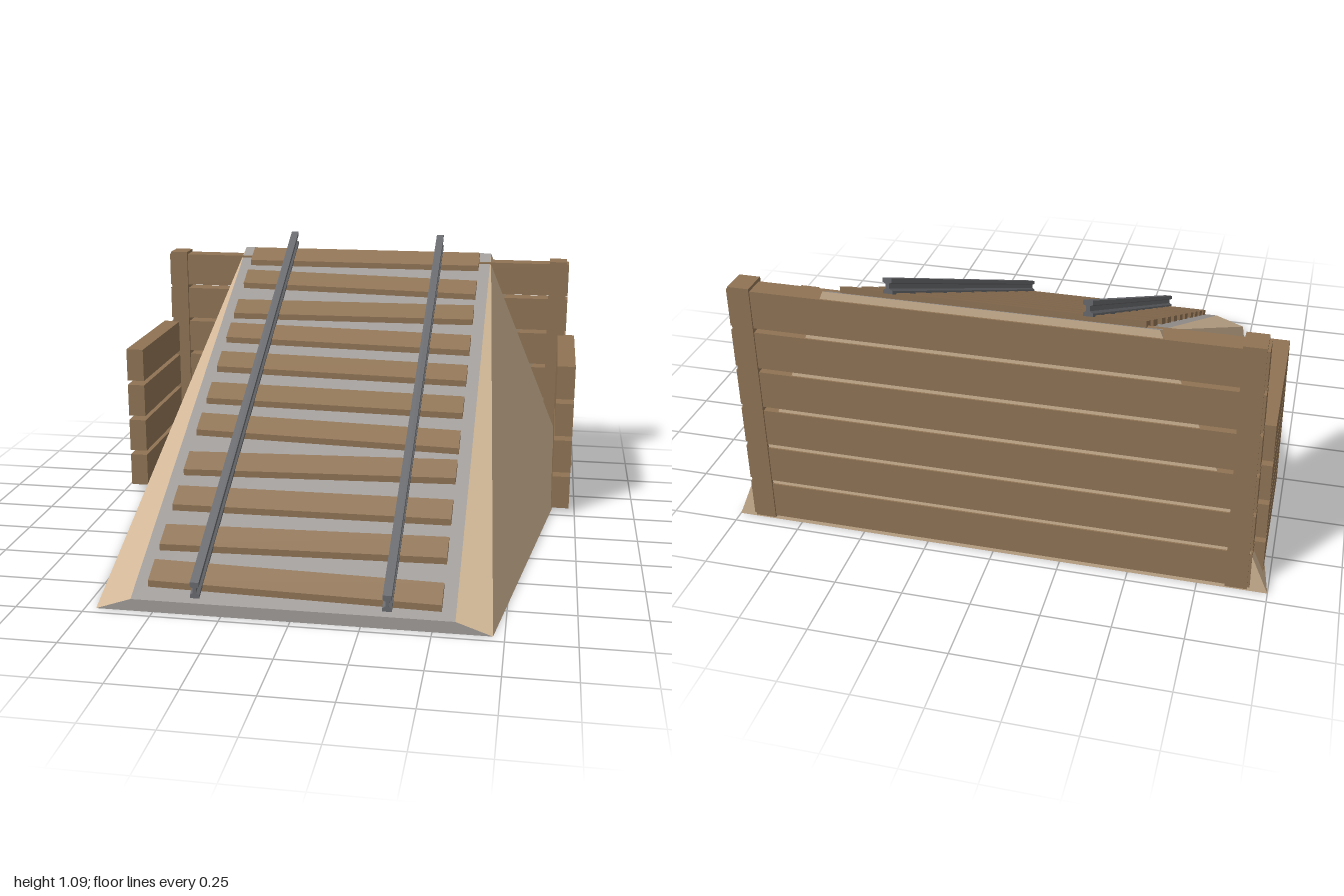
import * as THREE from 'three';

const FRONT = 0.965, BACK = -0.955, SLOPE = 0.5;

function material(name, color) {
  const m = new THREE.MeshStandardMaterial({ color });
  m.name = name;
  return m;
}

// Lifts every vertex along the incline (ends stay vertical) and skews z across x.
function incline(geometry, skew = 0) {
  const p = geometry.attributes.position;
  for (let i = 0; i < p.count; i++) {
    const z = p.getZ(i) + skew * p.getX(i);
    p.setZ(i, z);
    p.setY(i, p.getY(i) + SLOPE * (FRONT - z));
  }
  geometry.computeVertexNormals();
  return geometry;
}

// Earth ramp: gravel on the top and front, bare earth elsewhere.
function embankmentGeometry() {
  const corners = [
    [-0.71, 0, FRONT], [0.71, 0, FRONT], [1, 0, BACK], [-1, 0, BACK],
    [-0.58, 0.045, FRONT], [0.58, 0.045, FRONT], [0.58, 1.005, BACK], [-0.58, 1.005, BACK],
  ];
  const faces = [
    [0, 1, 5, 4], [4, 5, 6, 7],                             // front, top
    [1, 2, 6, 5], [0, 4, 7, 3], [3, 7, 6, 2], [0, 3, 2, 1], // sides, back, bottom
  ];
  const points = [];
  for (const [a, b, c, d] of faces)
    for (const k of [a, b, c, a, c, d]) points.push(...corners[k]);
  const g = new THREE.BufferGeometry();
  g.setAttribute('position', new THREE.Float32BufferAttribute(points, 3));
  g.computeVertexNormals();
  g.addGroup(0, 12, 0);
  g.addGroup(12, 24, 1);
  return g;
}

// I-shaped rail section, swept along the ramp.
function railGeometry() {
  const half = [[0.017, 0], [0.017, 0.012], [0.006, 0.02], [0.006, 0.038], [0.016, 0.043], [0.016, 0.06]];
  const outline = [...half, ...half.map(([x, y]) => [-x, y]).reverse()];
  const shape = new THREE.Shape(outline.map(([x, y]) => new THREE.Vector2(x, y)));
  const g = new THREE.ExtrudeGeometry(shape, { depth: FRONT - BACK, bevelEnabled: false });
  g.translate(0, 0.065, BACK);
  return incline(g);
}

export function createModel() {
  const model = new THREE.Group();
  model.name = 'railRamp';
  const earth = material('earth', 0xcfb595);
  const gravel = material('gravel', 0xa09c99);
  const wood = material('wood', 0x8f7354);
  const steel = material('steel', 0x68696d);

  const add = (name, geometry, mat, parent = model) => {
    const mesh = new THREE.Mesh(geometry, mat);
    mesh.name = name;
    parent.add(mesh);
    return mesh;
  };
  // Box given by its lower and upper limits on each axis.
  const block = (name, parent, x0, x1, y0, y1, z0, z1) =>
    add(name, new THREE.BoxGeometry(x1 - x0, y1 - y0, z1 - z0), wood, parent)
      .position.set((x0 + x1) / 2, (y0 + y1) / 2, (z0 + z1) / 2);

  add('embankment', embankmentGeometry(), [gravel, earth]);

  // Sleepers: centre z at the right and left ends, slightly askew.
  const sleepers = new THREE.Group();
  sleepers.name = 'sleepers';
  model.add(sleepers);
  const ends = [
    [-0.872, -0.875], [-0.715, -0.685], [-0.515, -0.525], [-0.365, -0.34],
    [-0.19, -0.165], [-0.01, 0.01], [0.16, 0.19], [0.362, 0.335],
    [0.53, 0.525], [0.71, 0.692], [0.865, 0.885],
  ];
  for (const [right, left] of ends) {
    const g = new THREE.BoxGeometry(1.06, 0.03, 0.09);
    g.translate(0, 0.055, (right + left) / 2);
    add('sleeper', incline(g.toNonIndexed(), (left - right) / 1.06), wood, sleepers);
  }

  // Rails
  for (const side of [-1, 1])
    add(side > 0 ? 'leftRail' : 'rightRail', railGeometry(), steel).position.x = side * 0.343;

  // Back retaining wall with corner posts
  const wall = new THREE.Group();
  wall.name = 'backWall';
  model.add(wall);
  const rowBottom = i => 0.02 + i * 0.162;
  for (let i = 0; i < 6; i++)
    block('backPlank', wall, -0.937, 0.937, rowBottom(i), rowBottom(i) + 0.145, -0.961, -0.88);
  for (const side of [-1, 1]) {
    const x = side * 0.889;
    block('cornerPost', wall, x - 0.039, x + 0.039, 0.015, 0.987, -0.967, -0.868);
  }

  // Short side walls
  for (const side of [-1, 1]) {
    const group = new THREE.Group();
    group.name = side > 0 ? 'leftWall' : 'rightWall';
    model.add(group);
    const x = side * 0.9375;
    for (let i = 0; i < 4; i++)
      block('sidePlank', group, x - 0.0375, x + 0.0375, rowBottom(i), rowBottom(i) + 0.142, -0.88, -0.285);
  }
  return model;
}
